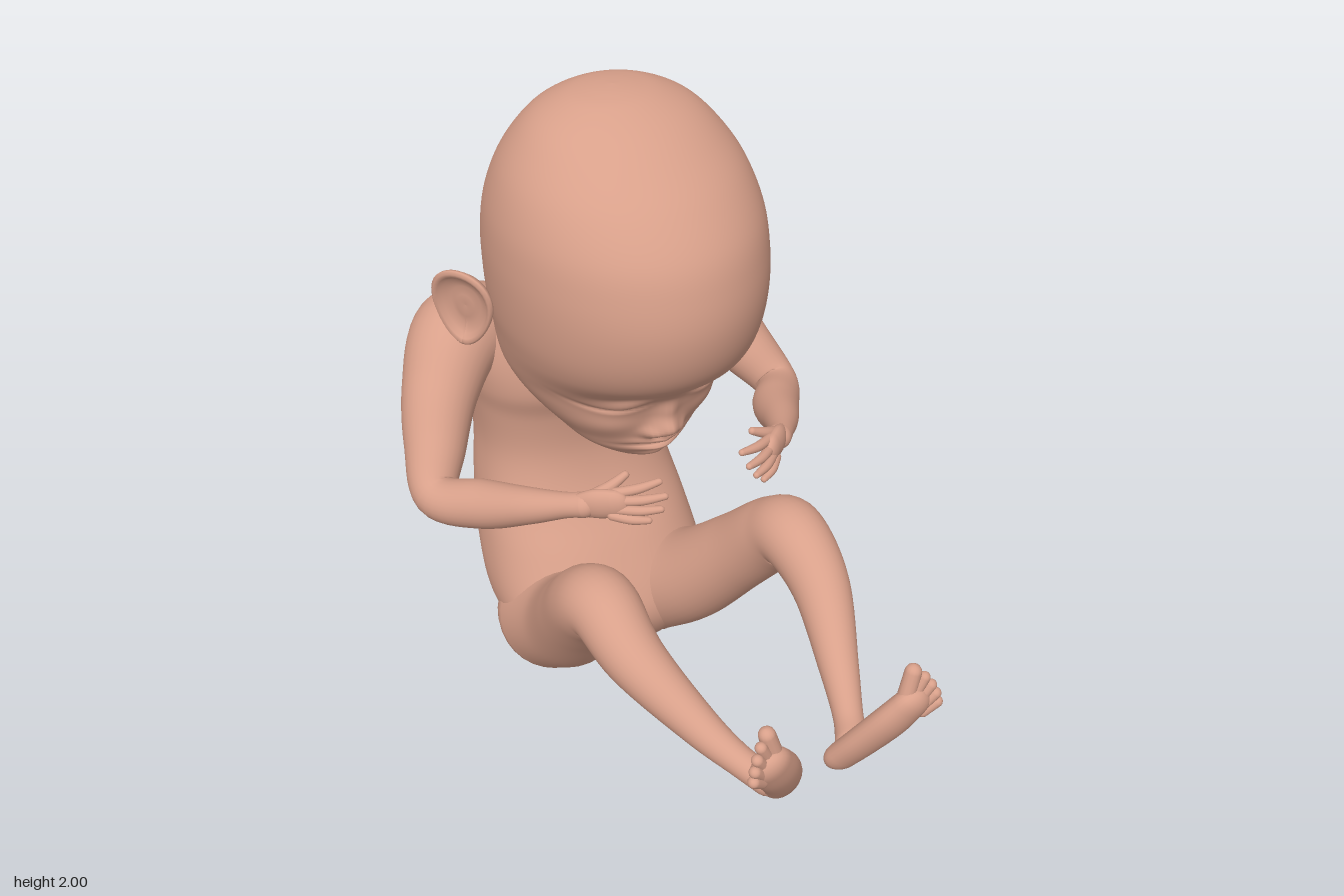
import * as THREE from 'three';

const skin = new THREE.MeshStandardMaterial({ color: 0xd8a08a });
skin.name = 'skin';

// Smooth interpolation through rows of numbers, t in 0..1
function sample(keys, t) {
  const n = keys.length - 1, f = Math.min(t, 1) * n, i = Math.min(Math.floor(f), n - 1), u = f - i;
  const [a, b, c, d] = [-1, 0, 1, 2].map(o => keys[Math.max(0, Math.min(n, i + o))]);
  return b.map((_, k) => b[k] + 0.5 * u * (c[k] - a[k] + u * (2 * a[k] - 5 * b[k] + 4 * c[k] - d[k]
    + u * (3 * (b[k] - c[k]) + d[k] - a[k]))));
}

// Skin over closed rings of points, each counter-clockwise about the direction of travel
function loft(rings) {
  const m = rings[0].length, pos = [], index = [];
  rings.forEach(r => r.forEach(p => pos.push(p.x, p.y, p.z)));
  for (let i = 0; i < rings.length - 1; i++) for (let j = 0; j < m; j++) {
    const k = (j + 1) % m, a = i * m + j, b = i * m + k, c = a + m, d = b + m;
    index.push(a, b, c, b, d, c);
  }
  const g = new THREE.BufferGeometry();
  g.setAttribute('position', new THREE.Float32BufferAttribute(pos, 3));
  g.setIndex(index);
  g.computeVertexNormals();
  return g;
}

// Round-ended limb through [x, y, z, radius] rows, optionally flattened along an axis
function limb(keys, sides = 24, steps = 8, axis = null, flat = 0) {
  const rings = [], n = (keys.length - 1) * steps, caps = 6;
  const normal = new THREE.Vector3(0.31, 0.83, -0.46);
  const at = t => new THREE.Vector3(...sample(keys, Math.max(0, Math.min(1, t))));
  const ring = (c, r, T) => {
    const B = T.clone().cross(normal), out = [];
    for (let j = 0; j < sides; j++) {
      const a = j / sides * Math.PI * 2;
      const v = normal.clone().multiplyScalar(Math.cos(a) * r).addScaledVector(B, Math.sin(a) * r);
      if (axis) v.addScaledVector(axis, -flat * v.dot(axis));
      out.push(v.add(c));
    }
    rings.push(out);
  };
  for (let i = 0; i <= n; i++) {
    const t = i / n, c = at(t), r = sample(keys, t)[3];
    const T = at(t + 0.01).sub(at(t - 0.01)).normalize();
    normal.addScaledVector(T, -normal.dot(T)).normalize();
    const cap = q => ring(c.clone().addScaledVector(T, (i ? 1 : -1) * r * Math.cos(q)), r * Math.sin(q), T);
    if (i === 0) for (let k = 0; k < caps; k++) cap(k / caps * Math.PI / 2);
    ring(c, r, T);
    if (i === n) for (let k = caps - 1; k >= 0; k--) cap(k / caps * Math.PI / 2);
  }
  return loft(rings);
}

// Upright body from [y, front z, back z, half width] rows; power squares the outline
function stack(keys, sides, steps, power, shape) {
  const rings = [], n = (keys.length - 1) * steps;
  const sq = v => Math.sign(v) * Math.pow(Math.abs(v), power);
  for (let i = 0; i <= n; i++) {
    const [y, f, b, w] = sample(keys, i / n), out = [];
    for (let j = 0; j < sides; j++) {
      const a = j / sides * Math.PI * 2, c = Math.cos(a);
      out.push(shape(new THREE.Vector3(w * sq(Math.sin(a)), y, (f + b) / 2 + (f - b) / 2 * sq(c)), c));
    }
    rings.push(out);
  }
  return loft(rings);
}

const bump = (x, y, sx, sy) => Math.exp(-((x / sx) ** 2) - (y / sy) ** 2);

// Face relief: |x|, y, height, spread x, spread y
const FACE = [
  [0, 1.09, 0.05, 0.04, 0.035], [0, 1.15, 0.022, 0.03, 0.05], [0.045, 1.077, 0.022, 0.022, 0.02], // nose
  [0.02, 1.052, -0.012, 0.015, 0.012],                                     // nostrils
  [0, 1.038, 0.022, 0.075, 0.014], [0, 1.003, 0.022, 0.065, 0.014],        // lips
  [0, 1.021, -0.014, 0.09, 0.007], [0, 0.96, 0.018, 0.06, 0.02],           // mouth line, chin
  [0.15, 1.2, 0.022, 0.07, 0.03], [0.12, 1.245, -0.014, 0.08, 0.02],       // eyelids, sockets
  [0.17, 1.11, 0.02, 0.08, 0.05],                                          // cheeks
];

function headShape(p, c) {
  if (c <= 0) return p;
  const x = Math.abs(p.x);
  let d = FACE.reduce((s, [bx, by, h, sx, sy]) => s + h * bump(x - bx, p.y - by, sx, sy), 0);
  d -= 0.018 * bump(x - 0.155, p.y - 1.185 - 2.5 * (x - 0.155) ** 2, 0.08, 0.009); // closed eye
  p.z += d * Math.min(1, c * 2);
  return p;
}

function torsoShape(p, c) {
  const low = Math.max(0, 1 - p.y / 0.3);
  p.y += 0.045 * low * bump(p.x, 0, 0.07, 1);
  if (c < 0) p.z += 0.022 * -c * bump(p.x, p.y - 0.6, 0.05, 0.6);          // spine furrow
  return p;
}

const HEAD = [
  [0.93, -0.21, -0.21, 0], [0.937, -0.165, -0.27, 0.06], [0.955, -0.125, -0.33, 0.105], [1, -0.085, -0.43, 0.17],
  [1.05, -0.065, -0.53, 0.215], [1.1, -0.05, -0.6, 0.255], [1.15, -0.033, -0.65, 0.287], [1.2, -0.012, -0.69, 0.31],
  [1.25, 0.045, -0.71, 0.325], [1.32, 0.125, -0.715, 0.342], [1.4, 0.168, -0.72, 0.358], [1.5, 0.187, -0.72, 0.367],
  [1.6, 0.178, -0.71, 0.368], [1.7, 0.145, -0.68, 0.357], [1.8, 0.07, -0.625, 0.325], [1.88, -0.02, -0.565, 0.275],
  [1.94, -0.105, -0.505, 0.215], [1.98, -0.19, -0.435, 0.135], [1.995, -0.25, -0.375, 0.065], [2, -0.31, -0.31, 0],
];
const TORSO = [
  [0.01, -0.42, -0.42, 0], [0.015, -0.36, -0.5, 0.12], [0.04, -0.31, -0.58, 0.21], [0.11, -0.25, -0.665, 0.29],
  [0.2, -0.22, -0.735, 0.335], [0.3, -0.24, -0.8, 0.35], [0.45, -0.32, -0.865, 0.335], [0.6, -0.41, -0.895, 0.31],
  [0.75, -0.45, -0.905, 0.29], [0.9, -0.44, -0.9, 0.3], [1, -0.41, -0.89, 0.315], [1.1, -0.41, -0.875, 0.315],
  [1.2, -0.42, -0.825, 0.28], [1.28, -0.44, -0.755, 0.22], [1.36, -0.46, -0.69, 0.15], [1.4, -0.57, -0.57, 0],
];
const ARM = [
  [0.2, 1.11, -0.72, 0.13], [0.34, 1.155, -0.66, 0.138], [0.45, 1.06, -0.56, 0.112], [0.52, 0.95, -0.46, 0.09],
  [0.57, 0.862, -0.35, 0.066], [0.485, 0.885, -0.22, 0.07], [0.41, 0.945, -0.08, 0.052], [0.345, 0.99, 0.02, 0.036],
  [0.31, 1.005, 0.06, 0.036],
];
const LEG = [
  [0.18, 0.192, -0.43, 0.19], [0.215, 0.31, -0.25, 0.148], [0.275, 0.51, -0.07, 0.12], [0.308, 0.655, 0.06, 0.11],
  [0.31, 0.708, 0.16, 0.102], [0.3, 0.645, 0.32, 0.084], [0.225, 0.54, 0.53, 0.056], [0.17, 0.49, 0.66, 0.042],
  [0.135, 0.475, 0.73, 0.046],
];
const PALM = [[0.32, 1, 0.05, 0.036], [0.285, 1.015, 0.085, 0.046], [0.25, 1.022, 0.115, 0.044]];
const FINGERS = [ // root, tip
  [[0.3, 1.03, 0.065], [0.2, 1.083, 0.09]],
  [[0.25, 1.05, 0.105], [0.13, 1.073, 0.15]],
  [[0.245, 1.032, 0.12], [0.132, 1.048, 0.185]],
  [[0.25, 1.01, 0.125], [0.15, 1.018, 0.195]],
  [[0.26, 0.993, 0.125], [0.182, 0.986, 0.185]],
];
const FOOT = [[0.098, 0.458, 0.745, 0.056], [0.128, 0.53, 0.785, 0.06], [0.175, 0.62, 0.83, 0.063], [0.213, 0.685, 0.855, 0.058]];
const TOES = [[0.222, 0.787, 0.845], [0.248, 0.768, 0.86], [0.264, 0.742, 0.87], [0.275, 0.714, 0.878], [0.28, 0.685, 0.882]];

export function createModel() {
  const model = new THREE.Group();
  const add = (name, geometry) => {
    const mesh = new THREE.Mesh(geometry, skin);
    mesh.name = name;
    model.add(mesh);
    return mesh;
  };
  add('head', stack(HEAD, 128, 7, 1, headShape));
  add('torso', stack(TORSO, 72, 6, 0.85, torsoShape));

  // Ear bowl with a rolled rim, narrowing to the lobe
  const earGeometry = new THREE.LatheGeometry([[0, -0.7], [0.45, -0.6], [0.8, -0.2], [0.98, 0.12], [1, 0.25], [0.93, 0.33],
    [0.83, 0.27], [0.74, 0.08], [0.5, -0.05], [0.3, 0.02], [0, -0.02]].map(p => new THREE.Vector2(...p)), 40);
  earGeometry.rotateX(Math.PI / 2);
  const ep = earGeometry.attributes.position;
  for (let i = 0; i < ep.count; i++) {
    ep.setX(i, ep.getX(i) * 0.092 * (1 + 0.28 * ep.getY(i)));
    ep.setY(i, ep.getY(i) * 0.125);
    ep.setZ(i, ep.getZ(i) * 0.075);
  }
  earGeometry.computeVertexNormals();

  for (const s of [1, -1]) {
    const side = s > 0 ? 'left' : 'right';
    const flip = rows => rows.map(([x, ...rest]) => [x * s, ...rest]);

    const ear = add(side + 'Ear', earGeometry);
    ear.position.set(0.4 * s, 1.39, -0.44);
    ear.up.set(0.3 * s, 0.9, 0.35).normalize();
    ear.lookAt(0.4 * s + 0.8 * s, 1.39 - 0.1, -0.44 + 0.55);

    add(side + 'Arm', limb(flip(ARM), 28));
    add(side + 'Palm', limb(flip(PALM), 20, 6, new THREE.Vector3(0.6 * s, 0, 0.8), 0.45));
    FINGERS.forEach(([a, b], i) => {
      const mid = a.map((v, k) => (v + b[k]) / 2 + (k === 2 ? 0.008 : 0));
      const r = i === 0 ? 0.016 : 0.014;
      add(side + (i ? 'Finger' + i : 'Thumb'), limb(flip([[...a, r], [...mid, r], [...b, r * 0.7]]), 12, 5));
    });

    add(side + 'Leg', limb(flip(LEG), 32));
    add(side + 'Foot', limb(flip(FOOT), 24, 6, new THREE.Vector3(-0.1 * s, -0.3, 0.95).normalize(), 0.35));
    TOES.forEach((tip, i) => {
      const root = [0.2 + 0.012 * i, 0.71 - 0.014 * i, 0.852 + 0.004 * i], r = i ? 0.017 : 0.024;
      add(side + 'Toe' + (i + 1), limb(flip([[...root, r], [...tip, r * 0.95]]), 14, 4));
    });
  }
  return model;
}
